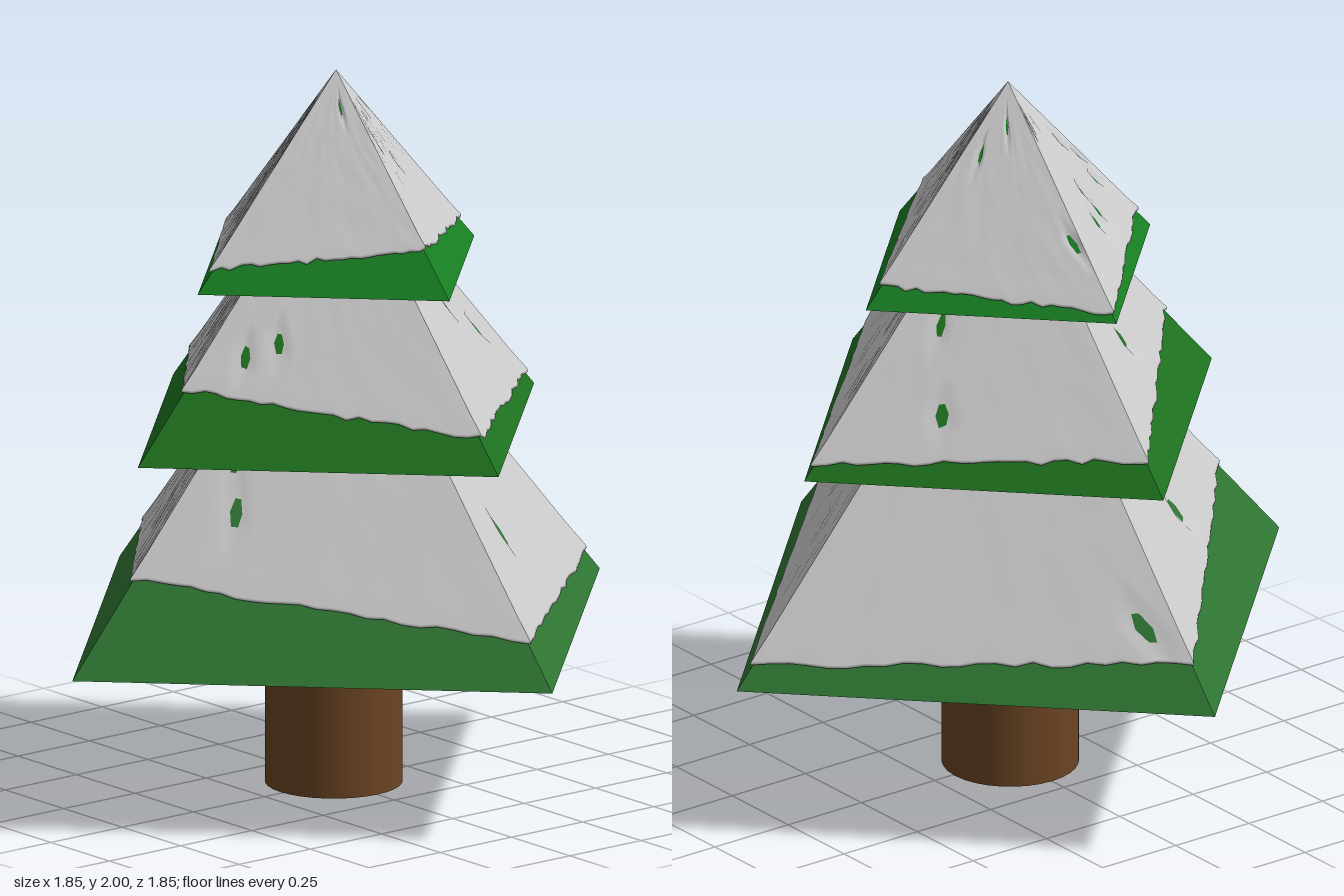
import * as THREE from 'three';

// small seeded random generator
function seeded(seed) {
  let s = seed;
  return () => {
    s = (s * 16807) % 2147483647;
    return s / 2147483647;
  };
}

// pyramid corners in order: front, left, back, right
const CORNERS = [[0, 1], [1, 0], [0, -1], [-1, 0]];

// base and apex heights, base radius, and the height of the snow edge at each corner
const TIERS = [
  { name: 'lower', base: 0.44, apex: 1.505, radius: 0.925, color: 0x2f7633, snow: [0.70, 0.57, 0.51, 0.57] },
  { name: 'middle', base: 1.0, apex: 1.79, radius: 0.695, color: 0x1e721f, snow: [1.20, 1.10, 1.05, 1.10] },
  { name: 'upper', base: 1.45, apex: 1.986, radius: 0.485, color: 0x177f22, snow: [1.52, 1.58, 1.52, 1.48] },
];

// thin snow shell over a pyramid: ragged lower edge, rolled lip, a few pits where green shows
function snowGeometry(tier, seed) {
  const random = seeded(seed);
  const N = 24, ROWS = 14;
  const slope = tier.radius / (tier.apex - tier.base);
  const cover = 0.014;
  const ragged = Array.from({ length: 4 * N }, () => (random() - 0.5) * 0.014);
  const positions = [], indices = [];

  for (let k = 0; k < 4; k++) {
    const [ax, az] = CORNERS[k], [bx, bz] = CORNERS[(k + 1) % 4];
    const first = positions.length / 3;
    for (let j = 0; j <= ROWS + 2; j++) {
      for (let i = 0; i <= N; i++) {
        const t = i / N;
        const edge = THREE.MathUtils.lerp(tier.snow[k], tier.snow[(k + 1) % 4], t)
          + ragged[(k * N + i) % (4 * N)];
        const f = Math.min(j / ROWS, 1);
        let y = THREE.MathUtils.lerp(tier.apex + cover, edge, f);
        let lift = cover;
        const inner = i > 0 && i < N && j > 2 && j < ROWS;
        if (inner) {
          lift += (random() - 0.5) * 0.004;
          if (random() < 0.016) lift = -0.016;
        }
        // rolled lip tucking back under the edge
        if (j === ROWS) lift = 0.018;
        if (j === ROWS + 1) { y -= 0.008; lift = 0.012; }
        if (j === ROWS + 2) { y -= 0.004; lift = -0.01; }
        const r = j === 0 ? 0 : (tier.apex + lift - y) * slope;
        positions.push((ax + (bx - ax) * t) * r, y, (az + (bz - az) * t) * r);
      }
    }
    for (let j = 0; j < ROWS + 2; j++) {
      for (let i = 0; i < N; i++) {
        const a = first + j * (N + 1) + i, b = a + N + 1;
        indices.push(a, b, b + 1);
        if (j > 0) indices.push(a, b + 1, a + 1);
      }
    }
  }
  const geometry = new THREE.BufferGeometry();
  geometry.setAttribute('position', new THREE.Float32BufferAttribute(positions, 3));
  geometry.setIndex(indices);
  geometry.computeVertexNormals();
  return geometry;
}

export function createModel() {
  const model = new THREE.Group();
  model.name = 'snowyTree';

  function add(name, geometry, material, x = 0, y = 0) {
    const mesh = new THREE.Mesh(geometry, material);
    mesh.name = name;
    mesh.position.set(x, y, 0);
    model.add(mesh);
  }

  // trunk
  add('trunk', new THREE.CylinderGeometry(0.187, 0.187, 0.45, 32),
    new THREE.MeshStandardMaterial({ color: 0x6b4423 }), -0.01, 0.225);

  // three tiers of branches, each with its snow
  const snow = new THREE.MeshStandardMaterial({ color: 0xcccccc, side: THREE.DoubleSide });
  TIERS.forEach((tier, n) => {
    const height = tier.apex - tier.base;
    add(tier.name + 'Branches', new THREE.ConeGeometry(tier.radius, height, 4),
      new THREE.MeshStandardMaterial({ color: tier.color, flatShading: true }),
      0, tier.base + height / 2);
    add(tier.name + 'Snow', snowGeometry(tier, 4711 + n * 977), snow);
  });

  return model;
}
